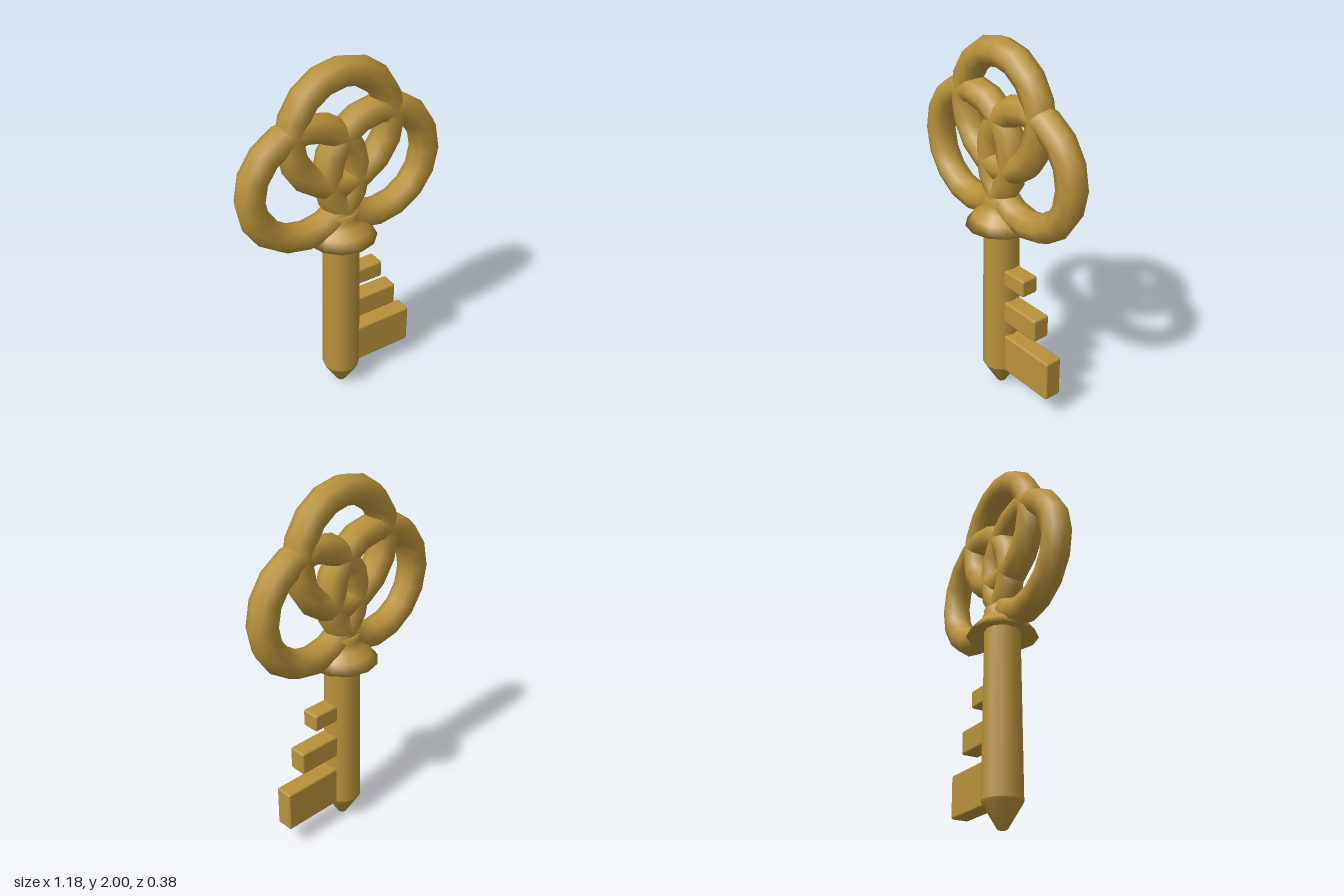
import * as THREE from 'three';
import { RoundedBoxGeometry } from 'three/addons/geometries/RoundedBoxGeometry.js';

export function createModel() {
  const key = new THREE.Group();
  key.name = 'key';
  const brass = new THREE.MeshStandardMaterial({ color: 0xb8923a });
  brass.name = 'brass';

  const add = (name, geometry, x = 0, y = 0, z = 0) => {
    const mesh = new THREE.Mesh(geometry, brass);
    mesh.name = name;
    mesh.position.set(x, y, z);
    key.add(mesh);
    return mesh;
  };
  const lathe = (points, sides) =>
    new THREE.LatheGeometry(points.map(([r, y]) => new THREE.Vector2(r, y)), sides);

  // Bow: three interlocking rings forming a trefoil
  const top = add('topRing', new THREE.TorusGeometry(0.297, 0.078, 8, 16), 0, 1.625);
  top.scale.x = 0.965;
  for (const [name, side] of [['leftRing', 1], ['rightRing', -1]]) {
    add(name, new THREE.TorusGeometry(0.298, 0.078, 8, 16), side * 0.214, 1.382);
  }

  // Flared collar, hollow underneath
  add('collar', lathe([
    [0.09, 1.04], [0.19, 1.01], [0.152, 1.06], [0.112, 1.1],
    [0.088, 1.13], [0.1, 1.16], [0.08, 1.168], [0, 1.168],
  ], 12));

  // Shaft, tapering slightly upward, with a blunt pointed tip
  add('shaft', lathe([[0.105, 0.14], [0.095, 1.06]], 12));
  add('tip', lathe([[0, 0], [0.025, 0.004], [0.098, 0.125], [0.105, 0.14]], 12));

  // Teeth on the model's left: [bottom, top, outer x]
  const teeth = [[0.133, 0.365, 0.43], [0.45, 0.58, 0.328], [0.677, 0.774, 0.233]];
  teeth.forEach(([bottom, upper, outer], i) => {
    const inner = 0.06;
    add('tooth' + (i + 1),
      new RoundedBoxGeometry(outer - inner, upper - bottom, 0.1, 2, 0.012),
      (outer + inner) / 2, (bottom + upper) / 2);
  });

  return key;
}
